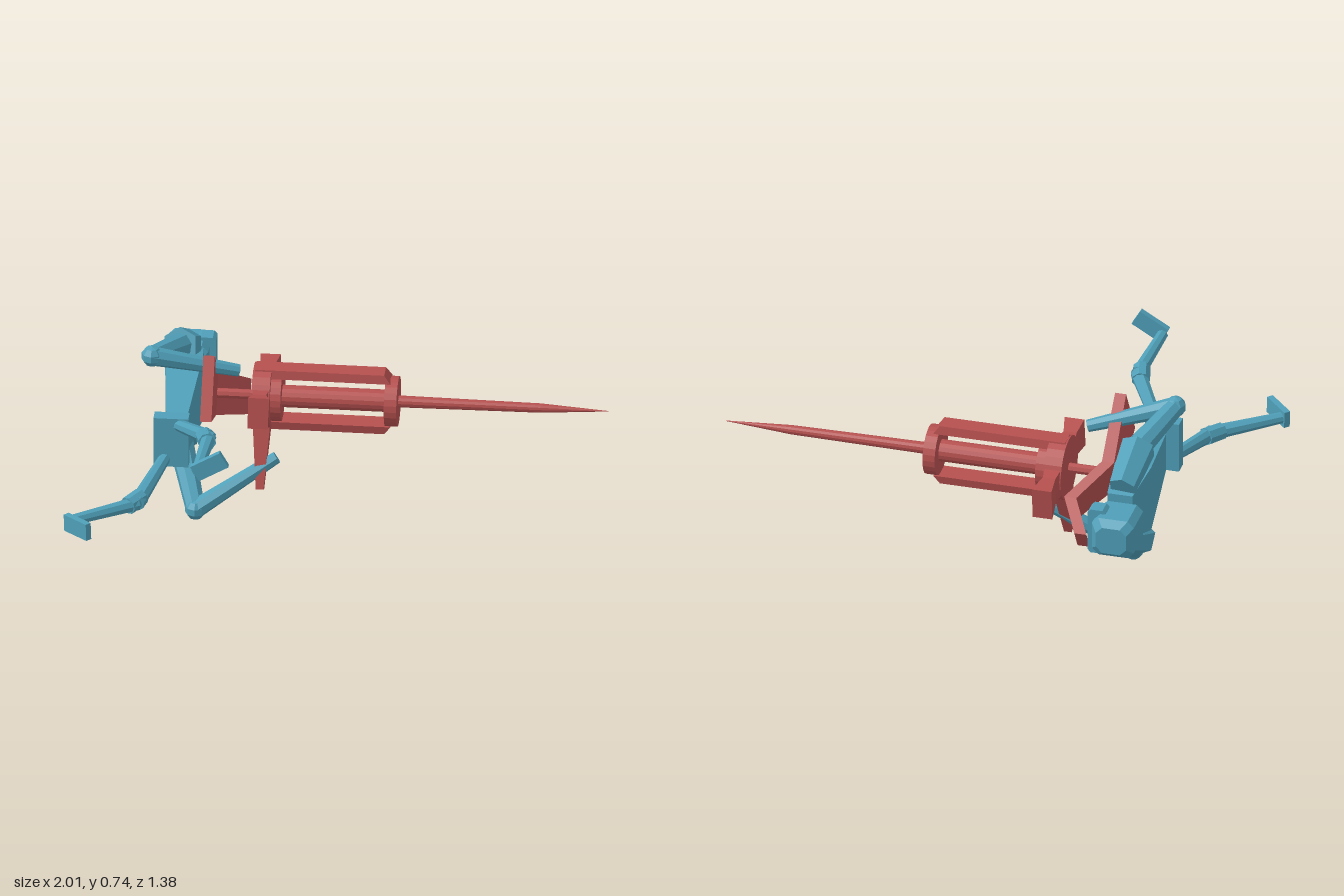
import * as THREE from 'three';
import { ConvexGeometry } from 'three/addons/geometries/ConvexGeometry.js';

const teal = new THREE.MeshStandardMaterial({ color: 0x4f9fb8, flatShading: true });
teal.name = 'body teal';
const red = new THREE.MeshStandardMaterial({ color: 0xb5504f, flatShading: true });
red.name = 'device red';

const V = (x, y, z) => new THREE.Vector3(x, y, z);
const AXIS_Y = 0.463, AXIS_Z = -0.238; // device axis, along x
const BODY_Y = 0.43;                   // body midline, lying along z

export function createModel() {
  const root = new THREE.Group();
  const body = new THREE.Group();
  body.name = 'body';
  const device = new THREE.Group();
  device.name = 'device';
  root.add(body, device);

  const add = (parent, name, geometry, material) => {
    const mesh = new THREE.Mesh(geometry, material);
    mesh.name = name;
    parent.add(mesh);
    return mesh;
  };

  // Tapered limb between two points
  const link = (parent, name, mat, a, b, ra, rb, sides = 8) => {
    const dir = b.clone().sub(a);
    const mesh = add(parent, name, new THREE.CylinderGeometry(rb, ra, dir.length(), sides), mat);
    mesh.position.copy(a).add(b).multiplyScalar(0.5);
    mesh.quaternion.setFromUnitVectors(V(0, 1, 0), dir.normalize());
    return mesh;
  };

  // Solid through rectangular sections [z, centre x, half x, half y], corners cut by c
  const hull = (name, sections, c = 0) => {
    const pts = [];
    for (const [z, x, hx, hy] of sections)
      for (const sx of [-1, 1]) for (const sy of [-1, 1]) {
        pts.push(V(x + sx * hx, BODY_Y + sy * (hy - c), z));
        if (c) pts.push(V(x + sx * (hx - c), BODY_Y + sy * hy, z));
      }
    add(body, name, new ConvexGeometry(pts), teal);
  };

  // Bent blade running out from the device axis along (uy, uz);
  // sections are [distance, x, half width, half thickness in x]
  const blade = (name, uy, uz, sections) => {
    const len = Math.hypot(uy, uz);
    uy /= len;
    uz /= len;
    const corners = ([s, x, hw, ht]) => {
      const out = [];
      for (const i of [-1, 1]) for (const j of [-1, 1])
        out.push(V(x + j * ht, AXIS_Y + uy * s + uz * hw * i, AXIS_Z + uz * s - uy * hw * i));
      return out;
    };
    const group = new THREE.Group();
    group.name = name;
    for (let k = 0; k + 1 < sections.length; k++)
      add(group, name + 'Part', new ConvexGeometry([...corners(sections[k]), ...corners(sections[k + 1])]), red);
    device.add(group);
  };

  // Torso, neck, pelvis and head
  hull('torso', [[0.03, -0.628, 0.042, 0.08], [-0.33, -0.638, 0.072, 0.138], [-0.485, -0.628, 0.05, 0.09]]);
  hull('pelvis', [[0.07, -0.643, 0.067, 0.103], [0.125, -0.643, 0.067, 0.103]]);
  link(body, 'neck', teal, V(-0.64, BODY_Y, -0.47), V(-0.645, BODY_Y, -0.53), 0.045, 0.045);
  hull('head', [[-0.503, -0.648, 0.062, 0.06], [-0.525, -0.648, 0.083, 0.08],
    [-0.66, -0.648, 0.083, 0.08], [-0.69, -0.648, 0.06, 0.055]], 0.025);
  hull('visor', [[-0.567, -0.575, 0.035, 0.094], [-0.63, -0.575, 0.035, 0.094]], 0.012);

  // Arms
  const arms = [
    { side: 'right', s: 1, elbow: V(-0.735, 0.697, -0.072), hand: V(-0.41, 0.608, -0.155) },
    { side: 'left', s: -1, elbow: V(-0.568, 0.045, -0.072), hand: V(-0.265, 0.238, -0.16) },
  ];
  for (const { side, s, elbow, hand } of arms) {
    const top = V(-0.635, BODY_Y + s * 0.115, -0.475);
    const low = V(-0.65, BODY_Y + s * 0.2, -0.295);
    link(body, side + 'ShoulderPad', teal, top, low, 0.056, 0.07, 6);
    link(body, side + 'UpperArm', teal, low, elbow, 0.05, 0.038);
    add(body, side + 'Elbow', new THREE.SphereGeometry(0.042, 8, 5), teal).position.copy(elbow);
    link(body, side + 'Forearm', teal, elbow, hand, 0.038, 0.024);
  }

  // Legs and feet
  const legs = [
    { side: 'right', hip: V(-0.615, 0.5, 0.11), knee: V(-0.475, 0.575, 0.34), ankle: V(-0.49, 0.585, 0.635),
      foot: V(-0.442, 0.613, 0.643), toe: V(0.86, 0.5, 0), sole: V(0, 0, 1) },
    { side: 'left', hip: V(-0.665, 0.36, 0.11), knee: V(-0.745, 0.313, 0.412), ankle: V(-0.975, 0.32, 0.585),
      foot: V(-0.95, 0.317, 0.632), toe: V(0.72, 0.06, 0.69), sole: V(-0.69, 0, 0.72) },
  ];
  for (const { side, hip, knee, ankle, foot, toe, sole } of legs) {
    link(body, side + 'Thigh', teal, hip, knee, 0.023, 0.031);
    link(body, side + 'Knee', teal, knee.clone().lerp(hip, 0.14), knee.clone().lerp(ankle, 0.14), 0.036, 0.035);
    link(body, side + 'Shin', teal, knee, ankle, 0.029, 0.022);
    const mesh = add(body, side + 'Foot', new THREE.BoxGeometry(0.13, 0.068, 0.025), teal);
    const across = sole.clone().cross(toe).normalize();
    const long = toe.clone().normalize();
    mesh.quaternion.setFromRotationMatrix(new THREE.Matrix4().makeBasis(long, across, long.clone().cross(across)));
    mesh.position.copy(foot);
  }

  // Device: round parts along its axis [name, x0, x1, r0, r1, sides]
  const turned = [
    ['gripRod', -0.52, -0.35, 0.02, 0.02, 8],
    ['basePlate', -0.36, -0.29, 0.126, 0.126, 24],
    ['rearDisc', -0.29, -0.25, 0.097, 0.097, 24],
    ['barrel', -0.25, 0.15, 0.043, 0.043, 16],
    ['frontDisc', 0.147, 0.195, 0.097, 0.097, 24],
    ['spikeShaft', 0.19, 0.74, 0.023, 0.018, 12],
    ['spikeTip', 0.74, 1.0, 0.018, 0.001, 12],
  ];
  for (const [name, x0, x1, r0, r1, sides] of turned)
    link(device, name, red, V(x0, AXIS_Y, AXIS_Z), V(x1, AXIS_Y, AXIS_Z), r0, r1, sides);

  // Upper and lower rails joining the discs
  for (const s of [1, -1])
    blade(s > 0 ? 'upperRail' : 'lowerRail', s, 0, [[0.092, -0.095, 0.043, 0.262], [0.126, -0.105, 0.036, 0.248]]);

  // Fins on the base plate
  blade('nearFin', 0.035, 0.225, [[0.08, -0.325, 0.06, 0.035], [0.15, -0.325, 0.052, 0.026], [0.222, -0.323, 0.062, 0.039]]);
  blade('farFin', -0.025, -0.258, [[0.08, -0.325, 0.06, 0.035], [0.16, -0.325, 0.055, 0.025], [0.26, -0.323, 0.064, 0.039]]);
  blade('lowerFin', -0.34, 0.122, [[0.1, -0.325, 0.035, 0.034], [0.363, -0.325, 0.017, 0.015]]);

  // Bent shoulder stock
  blade('stock', 0.51, 0.86, [[-0.305, -0.482, 0.045, 0.024], [-0.165, -0.412, 0.068, 0.024],
    [0, -0.525, 0.085, 0.024], [0.28, -0.515, 0.127, 0.022]]);

  return root;
}
